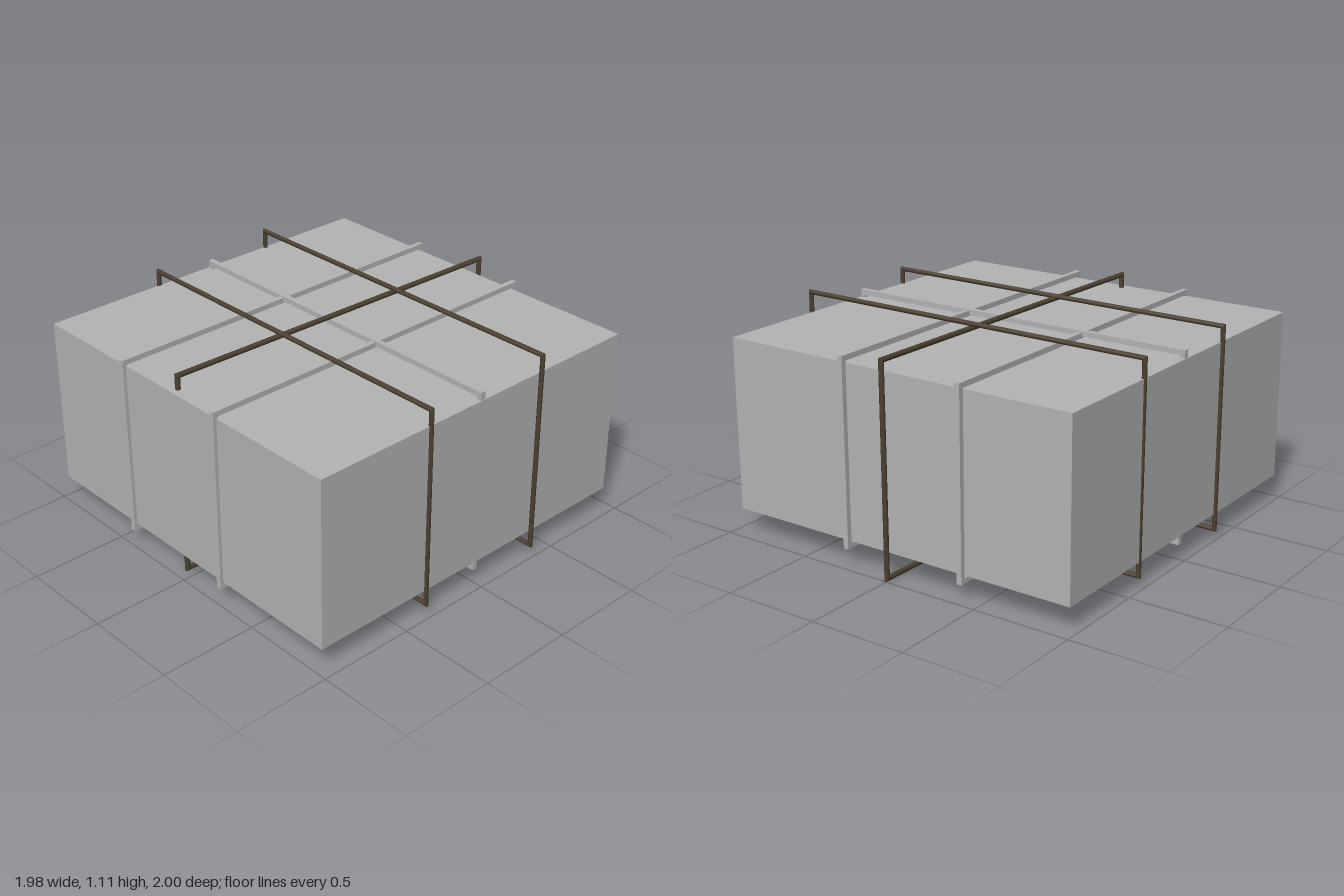
import * as THREE from 'three';

const grey = new THREE.MeshStandardMaterial({ color: 0xb3b3b3 });
grey.name = 'lightGrey';
const bronze = new THREE.MeshStandardMaterial({ color: 0x4a4030 });
bronze.name = 'darkBronze';

// Rectangular loop in the XY plane with mitred corners.
// w, h: half sizes to the bar's centre line; r: bar radius; n: sides of the bar.
function loopGeometry(w, h, r, n) {
  const pos = [], index = [];
  const corners = [[1, -1], [1, 1], [-1, 1], [-1, -1]];
  const start = n === 4 ? Math.PI / 4 : 0;
  for (let i = 0; i < 4; i++) {
    const base = pos.length / 3;
    for (const [sx, sy] of [corners[i], corners[(i + 1) % 4]]) {
      for (let k = 0; k < n; k++) {
        const a = start + (k / n) * Math.PI * 2;
        const out = r * Math.cos(a);
        pos.push(sx * (w + out), sy * (h + out), r * Math.sin(a));
      }
    }
    for (let k = 0; k < n; k++) {
      const a0 = base + k, a1 = base + (k + 1) % n;
      index.push(a0, a0 + n, a1, a1, a0 + n, a1 + n);
    }
  }
  let g = new THREE.BufferGeometry();
  g.setAttribute('position', new THREE.Float32BufferAttribute(pos, 3));
  g.setIndex(index);
  if (n === 4) g = g.toNonIndexed(); // crisp faces on square bars
  g.computeVertexNormals();
  return g;
}

export function createModel() {
  const model = new THREE.Group();
  model.name = 'strappedBlock';

  const add = (name, geometry, material, x, y, z, turn = 0, tilt = 0) => {
    const mesh = new THREE.Mesh(geometry, material);
    mesh.name = name;
    mesh.position.set(x, y, z);
    mesh.rotation.set(0, turn, tilt);
    model.add(mesh);
  };

  // Solid block
  add('block', new THREE.BoxGeometry(1.93, 0.875, 1.925), grey, -0.01, 0.5625, 0.015);

  // Square grey straps: two front to back, one side to side
  const half = 0.0135, r = half * Math.SQRT2, quarter = -Math.PI / 2;
  add('rightStrap', loopGeometry(0.984 - half, 0.4725 - half, r, 4), grey, -0.4, 0.558, 0.011, quarter);
  add('leftStrap', loopGeometry(0.984 - half, 0.4725 - half, r, 4), grey, 0.263, 0.563, 0.011, quarter);
  add('crossStrap', loopGeometry(0.962 - half, 0.48 - half, r, 4), grey, -0.01, 0.56, 0, 0);

  // Round dark hoops: two side to side, one front to back and slightly skewed
  add('rearHoop', loopGeometry(0.972, 0.519, 0.012, 12), bronze, 0.002, 0.576, -0.37, 0, 0.003);
  add('frontHoop', loopGeometry(0.967, 0.515, 0.012, 12), bronze, -0.011, 0.5625, 0.333, 0, 0.002);
  add('lengthHoop', loopGeometry(0.964, 0.525, 0.013, 12), bronze, -0.022, 0.542, -0.026, quarter - 0.026, 0.002);

  return model;
}
